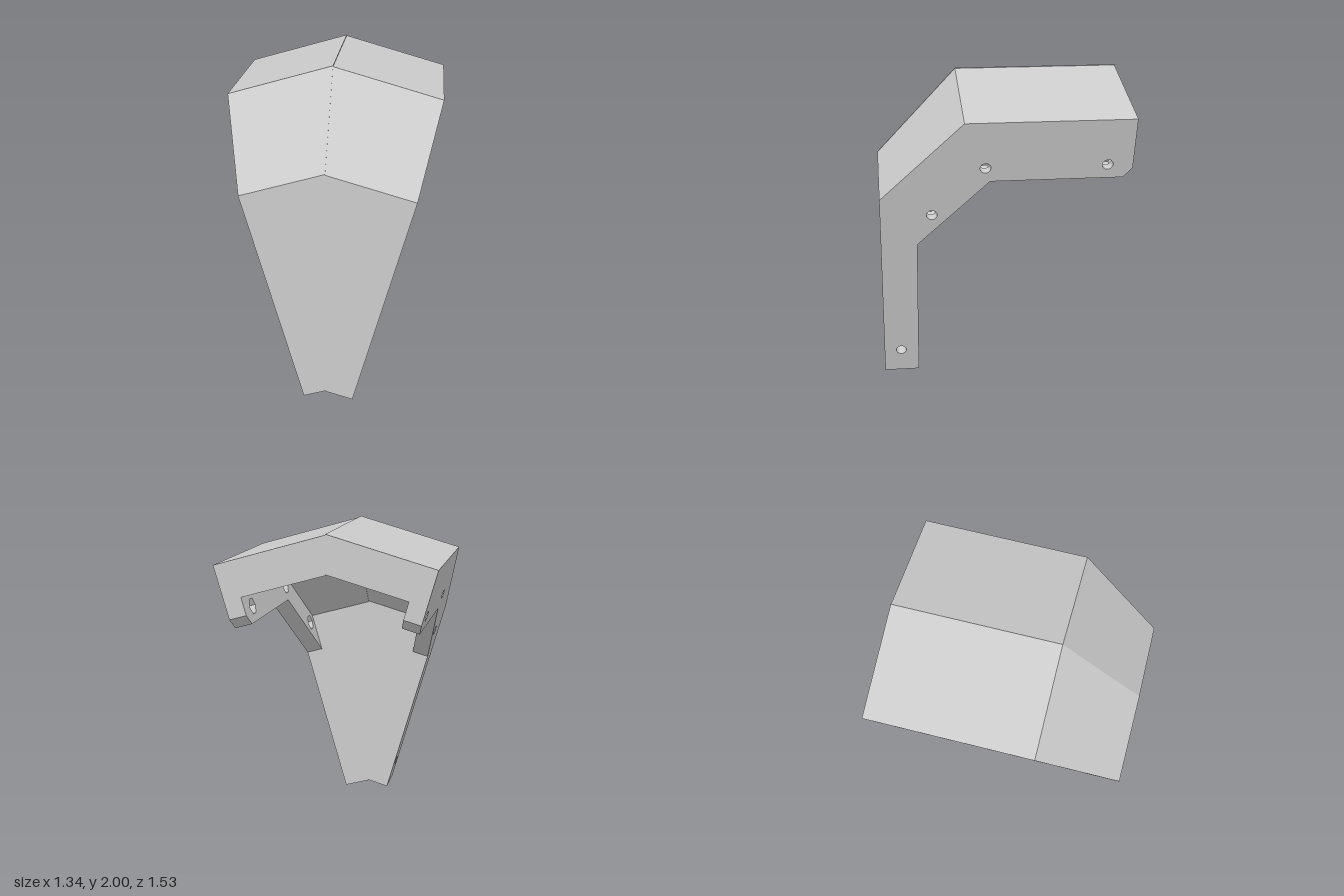
import * as THREE from 'three';

const RIDGE_X = -0.015;   // plane where the two halves meet
const PLATE = 0.11;       // flange thickness
const SEAT = 0.055;       // depth at which the hex pockets start

// Profiles in the plane of a side wall: (z, distance up the wall)
const PLATE_PROFILE = [
  [0.765, 0], [0.765, 1.367], [0.26, 1.877], [-0.765, 1.877], [-0.765, 1.54],
  [-0.71, 1.477], [0.1, 1.477], [0.54, 1.03], [0.54, 0],
];
const CORE_PROFILE = [
  [0.765, 0], [0.765, 1.367], [0.26, 1.877], [-0.765, 1.877],
  [-0.765, 1.652], [0.167, 1.652], [0.54, 1.279], [0.54, 0],
];
const FLANGE_HOLES = [[0.13, 1.57], [-0.61, 1.57], [0.45, 1.247]];
const LEG_HOLE = [0.655, 0.172];

const toShape = (pts) => new THREE.Shape(pts.map(([a, b]) => new THREE.Vector2(a, b)));

// Regular polygon hole
function hole([z, t], radius, sides) {
  const pts = [];
  for (let i = 0; i < sides; i++) {
    const a = (i / sides) * Math.PI * 2;
    pts.push(new THREE.Vector2(z + radius * Math.cos(a), t + radius * Math.sin(a)));
  }
  return new THREE.Path(pts);
}

// Extrudes a profile square to a tilted side wall, from depth w0 to w1 (or to the ridge plane)
function wallExtrude(shape, side, w0, w1) {
  const geo = new THREE.ExtrudeGeometry(shape, { depth: 1, bevelEnabled: false, steps: 1 });
  const tilt = Math.atan(0.2855);
  const s = Math.sin(tilt), c = Math.cos(tilt);
  const [ox, oy] = side > 0 ? [0.15, 0] : [-0.155, 0.012];
  const pos = geo.attributes.position;
  for (let i = 0; i < pos.count; i++) {
    const z = pos.getX(i), t = pos.getY(i);
    const u = side > 0 ? pos.getZ(i) : 1 - pos.getZ(i);
    const x = ox + side * s * t;
    const end = w1 ?? (x - RIDGE_X) / (side * c);
    const w = w0 + u * (end - w0);
    pos.setXYZ(i, x - side * c * w, oy + c * t + s * w, z);
  }
  geo.computeVertexNormals();
  return geo;
}

export function createModel() {
  const group = new THREE.Group();
  group.name = 'bentCoverBracket';
  const material = new THREE.MeshStandardMaterial({ color: 0xcccccc, flatShading: true });

  for (const side of [1, -1]) {
    const half = new THREE.Group();
    half.name = side > 0 ? 'leftHalf' : 'rightHalf';
    const add = (name, geo) => {
      const mesh = new THREE.Mesh(geo, material);
      mesh.name = name;
      half.add(mesh);
    };

    // Outer layer of the side wall with round bolt holes
    const outer = toShape(PLATE_PROFILE);
    for (const p of [...FLANGE_HOLES, LEG_HOLE]) outer.holes.push(hole(p, 0.033, 24));
    add('sideWall', wallExtrude(outer, side, 0, SEAT));

    // Inner layer with hexagonal nut pockets; the leg hole stays round
    const inner = toShape(PLATE_PROFILE);
    for (const p of FLANGE_HOLES) inner.holes.push(hole(p, 0.053, 6));
    inner.holes.push(hole(LEG_HOLE, 0.033, 24));
    add('nutPocketWall', wallExtrude(inner, side, SEAT, PLATE));

    // Roof, slanted shoulder and leg, running in to the ridge
    add('roofAndLeg', wallExtrude(toShape(CORE_PROFILE), side, PLATE));
    group.add(half);
  }
  return group;
}
